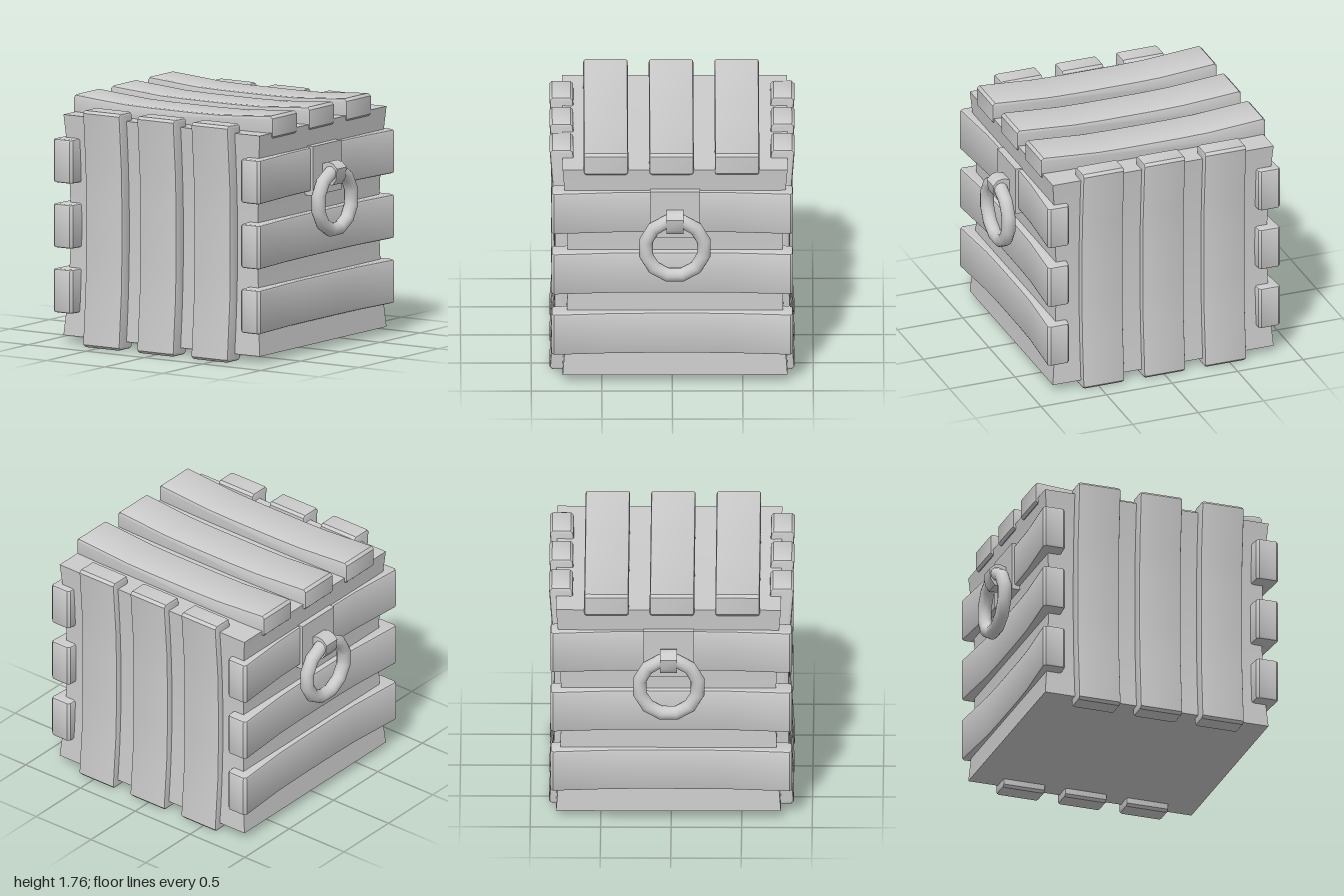
import * as THREE from 'three';
import { toCreasedNormals } from 'three/addons/utils/BufferGeometryUtils.js';

const material = new THREE.MeshStandardMaterial({ color: 0xcccccc });

function addMesh(parent, name, geometry) {
  const mesh = new THREE.Mesh(geometry, material);
  mesh.name = name;
  parent.add(mesh);
  return mesh;
}

// Bowed plank: length along x, outer face at y = 0 sagging in the middle, width along z
function plankGeometry(length, width) {
  const bevel = 0.018, thick = 0.167 - bevel, h = length / 2 - bevel, c = 0.008;
  const sag = [[-0.42, 0.03], [-0.2, 0.034], [0.2, 0.034], [0.42, 0.03]];
  const points = [[-h, -c - bevel], [-h + c, -bevel]];
  sag.forEach(([x, d]) => points.push([x, -d - bevel]));
  points.push([h - c, -bevel], [h, -c - bevel], [h, -thick + c], [h - c, -thick]);
  sag.slice().reverse().forEach(([x, d]) => points.push([x, -thick - d]));
  points.push([-h + c, -thick], [-h, -thick + c]);
  const shape = new THREE.Shape(points.map(([x, y]) => new THREE.Vector2(x, y)).reverse());
  const depth = width - 2 * bevel;
  const geometry = new THREE.ExtrudeGeometry(shape, {
    depth, bevelEnabled: true, bevelThickness: bevel, bevelSize: bevel, bevelSegments: 2, steps: 1,
  });
  geometry.translate(0, 0, -depth / 2);
  return toCreasedNormals(geometry, 0.6);
}

// Turns a plank so its length follows "along" and its outer face looks toward "out"
function addPlank(parent, name, geometry, along, out, position) {
  const plank = addMesh(parent, name, geometry);
  const across = along.clone().cross(out);
  plank.quaternion.setFromRotationMatrix(new THREE.Matrix4().makeBasis(along, out, across));
  plank.position.copy(position);
}

// Crate core with sides pinched toward mid height
function coreGeometry() {
  const geometry = new THREE.BoxGeometry(1.685, 1.585, 1.595, 10, 10, 10);
  const p = geometry.attributes.position;
  for (let i = 0; i < p.count; i++) {
    const x = p.getX(i), y = p.getY(i), z = p.getZ(i);
    const pinch = 1 - 0.045 * (1 - (y / 0.7925) ** 2);
    const dip = 1 - 0.015 * (1 - Math.max(Math.abs(x) / 0.8425, Math.abs(z) / 0.7975) ** 2);
    p.setXYZ(i, x * pinch, y * dip, z * pinch);
  }
  geometry.translate(-0.005, 0.85, -0.02);
  return toCreasedNormals(geometry, 0.6);
}

// Backplate, strap and hanging ring, built on the +x side
function makeHandle(name) {
  const handle = new THREE.Group();
  handle.name = name;
  addMesh(handle, 'handlePlate', new THREE.BoxGeometry(0.09, 0.355, 0.355)).position.set(0.83, 1.31, 0);

  const strap = new THREE.Shape([
    [0.86, 1.2], [0.96, 1.2], [0.99, 1.24], [1.0, 1.32], [0.965, 1.355], [0.92, 1.365], [0.86, 1.345],
  ].map(([x, y]) => new THREE.Vector2(x, y)));
  const strapGeometry = new THREE.ExtrudeGeometry(strap, { depth: 0.12, bevelEnabled: false });
  strapGeometry.translate(0, 0, -0.06);
  addMesh(handle, 'handleStrap', toCreasedNormals(strapGeometry, 0.8));

  const ringGeometry = new THREE.TorusGeometry(0.212, 0.05, 12, 12);
  ringGeometry.rotateZ(Math.PI / 12).rotateY(Math.PI / 2);
  addMesh(handle, 'handleRing', ringGeometry).position.set(0.94, 1.083, 0);
  return handle;
}

export function createModel() {
  const crate = new THREE.Group();
  crate.name = 'crate';
  addMesh(crate, 'crateCore', coreGeometry());

  const upright = plankGeometry(1.7, 0.318);
  const cross = plankGeometry(1.715, 0.316);
  const X = new THREE.Vector3(1, 0, 0), Y = new THREE.Vector3(0, 1, 0), Z = new THREE.Vector3(0, 0, 1);
  for (let i = -1; i <= 1; i++) {
    // Lid planks run left to right
    addPlank(crate, 'lidPlank', cross, X, Y, new THREE.Vector3(-0.01, 1.765, 0.005 + i * 0.465));

    for (const side of [1, -1]) {
      // Upright planks on front and back
      addPlank(crate, side > 0 ? 'frontPlank' : 'backPlank', upright, Y, Z.clone().multiplyScalar(side),
        new THREE.Vector3(i * 0.465, 0.853, side * 0.868));
      // Horizontal planks on left and right
      addPlank(crate, side > 0 ? 'leftPlank' : 'rightPlank', cross, Z, X.clone().multiplyScalar(side),
        new THREE.Vector3(side * 0.888, 0.853 + i * 0.467, 0));
    }
  }

  // Ring handles; a half turn mirrors the symmetric left one
  const left = makeHandle('leftHandle');
  const right = makeHandle('rightHandle');
  right.rotation.y = Math.PI;
  left.position.z = right.position.z = -0.018;
  crate.add(left, right);
  return crate;
}
